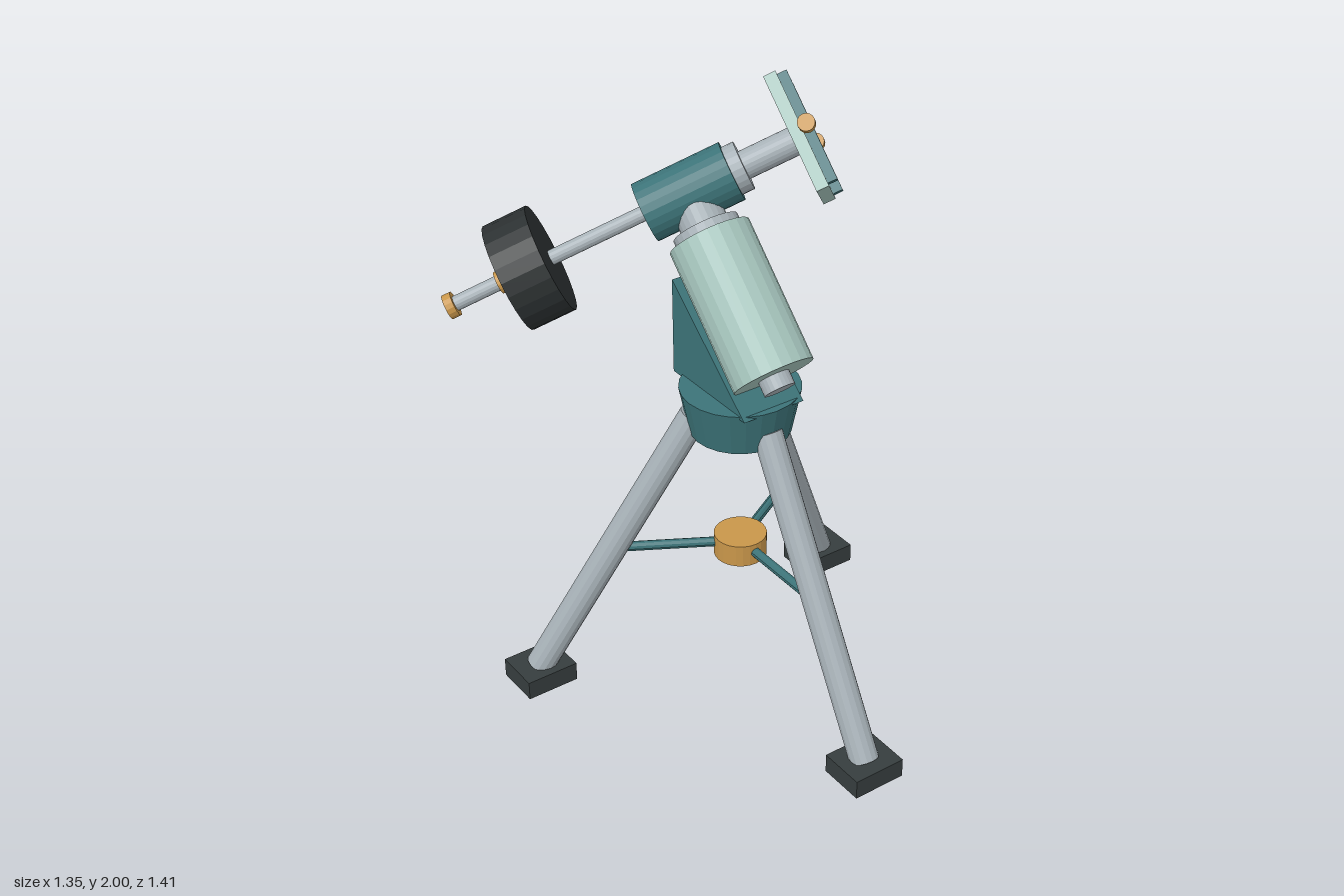
import * as THREE from 'three';

const mat = (color) => new THREE.MeshStandardMaterial({ color, flatShading: true });
const TEAL = mat(0x3c7378), PALE = mat(0xa5c4bc), STEEL = mat(0xa7b1b7);
const DARK = mat(0x363d3e), IRON = mat(0x2b3031), BRASS = mat(0xc8964a);

const V = (x, y, z) => new THREE.Vector3(x, y, z);

function add(parent, name, geometry, material) {
  const mesh = new THREE.Mesh(geometry, material);
  mesh.name = name;
  parent.add(mesh);
  return mesh;
}

// Cylinder along the parent's y axis, from y0 to y1
function rod(parent, name, r, y0, y1, material, sides = 24, rBottom = r) {
  const mesh = add(parent, name, new THREE.CylinderGeometry(r, rBottom, y1 - y0, sides), material);
  mesh.position.y = (y0 + y1) / 2;
  return mesh;
}

// Cylinder between two points
function strut(parent, name, a, b, r, material, sides = 16) {
  const dir = b.clone().sub(a);
  const mesh = add(parent, name, new THREE.CylinderGeometry(r, r, dir.length(), sides), material);
  mesh.position.copy(a).add(b).multiplyScalar(0.5);
  mesh.quaternion.setFromUnitVectors(V(0, 1, 0), dir.normalize());
  return mesh;
}

function box(parent, name, w, h, d, material, x, y, z) {
  const mesh = add(parent, name, new THREE.BoxGeometry(w, h, d), material);
  mesh.position.set(x, y, z);
  return mesh;
}

function buildTripod() {
  const tripod = new THREE.Group();
  tripod.name = 'tripod';
  tripod.position.set(0.01, 0, -0.035);
  rod(tripod, 'tripodHead', 0.19, 0.94, 1.09, TEAL, 24, 0.16);
  rod(tripod, 'spreaderHub', 0.085, 0.465, 0.54, BRASS);
  for (let i = 0; i < 3; i++) {
    const angle = (i * Math.PI * 2) / 3;
    const at = (r, y) => V(Math.sin(angle) * r, y, Math.cos(angle) * r);
    strut(tripod, 'leg', at(0.66, 0.055), at(0.142, 0.99), 0.047, STEEL);
    strut(tripod, 'spreaderArm', at(0.05, 0.508), at(0.405, 0.508), 0.016, TEAL, 10);
    const foot = at(0.66, 0.0325);
    box(tripod, 'foot', 0.18, 0.065, 0.155, DARK, foot.x, foot.y, foot.z);
  }
  return tripod;
}

// Triangular block carrying the polar housing
function buildWedge() {
  const shape = new THREE.Shape([
    new THREE.Vector2(-0.14, 1.08), new THREE.Vector2(0.235, 1.08), new THREE.Vector2(0.235, 1.4),
  ]);
  const geometry = new THREE.ExtrudeGeometry(shape, { depth: 0.22, bevelEnabled: false });
  geometry.rotateY(Math.PI / 2);
  const wedge = new THREE.Mesh(geometry, TEAL);
  wedge.name = 'wedge';
  wedge.position.x = -0.1;
  return wedge;
}

// Polar axis, tilted back 45 degrees
function buildPolarAxis() {
  const polar = new THREE.Group();
  polar.name = 'polarAxis';
  polar.position.set(0.01, 1.202, 0.136);
  polar.rotation.x = -Math.PI / 4;
  rod(polar, 'polarEndCap', 0.05, -0.045, 0.01, STEEL);
  rod(polar, 'polarHousing', 0.13, 0, 0.465, PALE);
  rod(polar, 'polarCollar', 0.105, 0.46, 0.495, STEEL);
  rod(polar, 'polarNeck', 0.075, 0.49, 0.58, STEEL);
  return polar;
}

// Declination axis, at right angles to the polar axis; local y runs to the saddle
function buildDeclinationAxis() {
  const dec = new THREE.Group();
  dec.name = 'declinationAxis';
  const tilt = THREE.MathUtils.degToRad(35), h = Math.SQRT1_2;
  const along = V(Math.cos(tilt), Math.sin(tilt) * h, Math.sin(tilt) * h);
  const polar = V(0, h, -h);
  const across = along.clone().cross(polar);
  dec.quaternion.setFromRotationMatrix(new THREE.Matrix4().makeBasis(across, along, polar));
  dec.position.set(0.01, 1.635, -0.302);

  rod(dec, 'declinationHousing', 0.095, -0.145, 0.145, TEAL);
  rod(dec, 'declinationCollar', 0.078, 0.14, 0.185, STEEL);
  rod(dec, 'saddleShaft', 0.045, 0.18, 0.352, STEEL);

  // Counterweight and its bar
  rod(dec, 'counterweightBar', 0.024, -0.8, -0.14, STEEL, 16);
  rod(dec, 'counterweight', 0.174, -0.606, -0.462, IRON);
  rod(dec, 'counterweightLock', 0.036, -0.64, -0.6, BRASS, 16);
  rod(dec, 'barEndStop', 0.04, -0.814, -0.786, BRASS, 16);

  // Saddle plate with a rail and a clamp knob on each side
  box(dec, 'saddlePlate', 0.23, 0.04, 0.38, PALE, 0, 0.37, 0);
  for (const side of [-1, 1]) {
    box(dec, 'saddleRail', 0.028, 0.034, 0.36, TEAL, side * 0.094, 0.404, 0);
    const clamp = new THREE.Group();
    clamp.name = 'clampKnob';
    clamp.position.y = 0.408;
    clamp.rotation.z = -side * Math.PI / 2;
    rod(clamp, 'clampScrew', 0.01, 0.1, 0.14, BRASS, 10);
    rod(clamp, 'clampGrip', 0.027, 0.132, 0.162, BRASS, 16);
    dec.add(clamp);
  }
  return dec;
}

export function createModel() {
  const model = new THREE.Group();
  model.name = 'equatorialMount';
  model.add(buildTripod(), buildWedge(), buildPolarAxis(), buildDeclinationAxis());
  return model;
}
